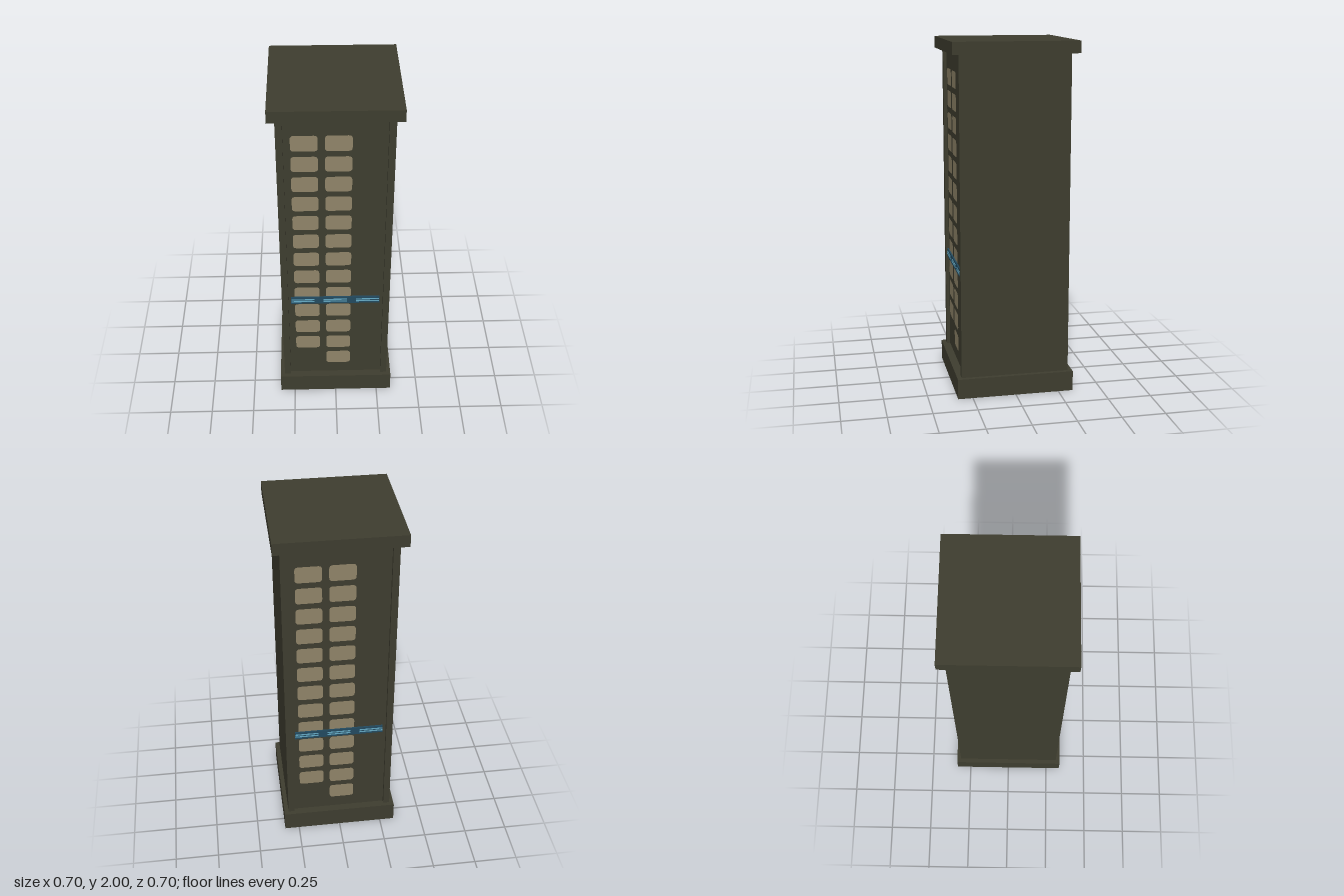
import * as THREE from 'three';

const olive = new THREE.MeshStandardMaterial({ color: 0x3e3d2f, side: THREE.DoubleSide });
olive.name = 'dark olive';
const beige = new THREE.MeshStandardMaterial({ color: 0x908469 });
beige.name = 'dusty beige';
const navy = new THREE.MeshStandardMaterial({ color: 0x224a60 });
navy.name = 'deep blue';
const sky = new THREE.MeshStandardMaterial({ color: 0x62a6c0 });
sky.name = 'light blue';

function add(parent, name, geometry, material, x, y, z) {
  const mesh = new THREE.Mesh(geometry, material);
  mesh.name = name;
  mesh.position.set(x, y, z);
  parent.add(mesh);
  return mesh;
}

// Flat rounded rectangle facing +z, centred on the origin
function roundedPlate(w, h, r) {
  const x = w / 2, y = h / 2;
  const s = new THREE.Shape();
  s.moveTo(-x + r, -y);
  s.lineTo(x - r, -y);
  s.quadraticCurveTo(x, -y, x, -y + r);
  s.lineTo(x, y - r);
  s.quadraticCurveTo(x, y, x - r, y);
  s.lineTo(-x + r, y);
  s.quadraticCurveTo(-x, y, -x, y - r);
  s.lineTo(-x, -y + r);
  s.quadraticCurveTo(-x, -y, -x + r, -y);
  return new THREE.ShapeGeometry(s, 4);
}

// Box with its bottom face left out
function openBox(w, h, d) {
  const g = new THREE.BoxGeometry(w, h, d);
  const index = Array.from(g.index.array);
  index.splice(18, 6);
  g.setIndex(index);
  g.clearGroups();
  return g;
}

// Details of one decorated face: window columns and a lit band
function createFacade() {
  const facade = new THREE.Group();
  const windowGeometry = roundedPlate(0.143, 0.095, 0.02);
  const columns = [{ x: -0.164, rows: 12 }, { x: 0.016, rows: 13 }];
  for (const { x, rows } of columns) {
    for (let i = 0; i < rows; i++) {
      add(facade, 'windowPlate', windowGeometry, beige, x, 1.775 - i * 0.128, 0.293);
    }
  }

  add(facade, 'band', new THREE.BoxGeometry(0.51, 0.048, 0.008), navy, -0.002, 0.706, 0.298);
  const lineGeometry = new THREE.BoxGeometry(0.134, 0.007, 0.002);
  for (const x of [-0.188, -0.002, 0.184]) {
    for (const y of [0.699, 0.713]) add(facade, 'bandLine', lineGeometry, sky, x, y, 0.303);
  }
  return facade;
}

export function createModel() {
  const model = new THREE.Group();
  model.name = 'tower';

  // Hollow plinth, shaft and cap
  add(model, 'plinth', openBox(0.67, 0.116, 0.67), olive, 0, 0.058, 0);
  const shaftHeight = 1.933 - 0.116, shaftY = (1.933 + 0.116) / 2;
  add(model, 'shaft', new THREE.BoxGeometry(0.62, shaftHeight, 0.58), olive, 0, shaftY, 0);
  add(model, 'cap', new THREE.BoxGeometry(0.7, 0.067, 0.7), olive, 0, 1.9665, 0);

  // Corner strips framing the recessed front and back
  const stripGeometry = new THREE.BoxGeometry(0.037, shaftHeight, 0.02);
  for (const x of [-0.2915, 0.2915]) {
    for (const z of [-0.3, 0.3]) add(model, 'cornerStrip', stripGeometry, olive, x, shaftY, z);
  }

  // The same face on front and back
  const front = createFacade();
  front.name = 'frontFacade';
  const back = createFacade();
  back.name = 'backFacade';
  back.rotation.y = Math.PI;
  model.add(front, back);

  return model;
}
